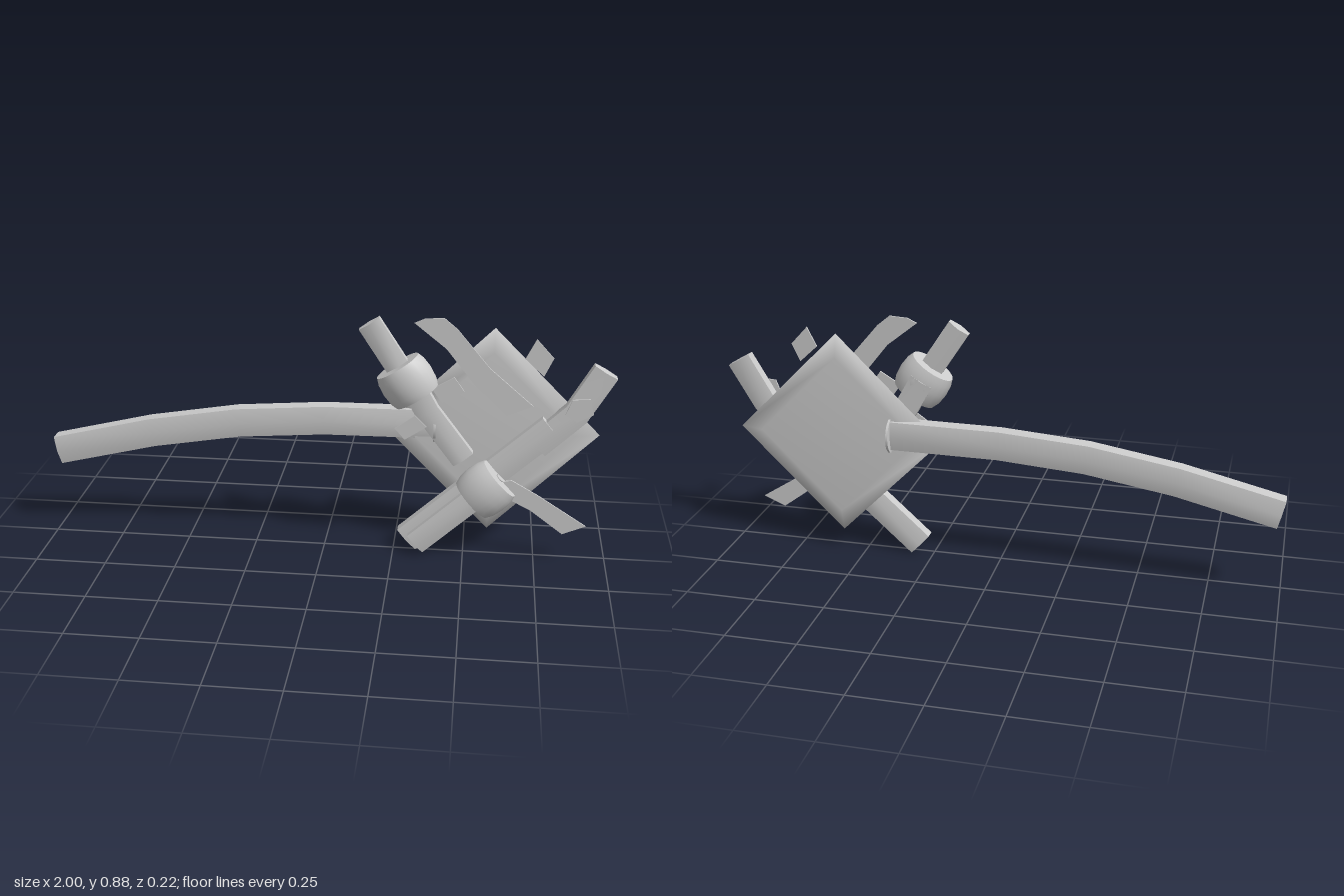
import * as THREE from 'three';
import { toCreasedNormals } from 'three/addons/utils/BufferGeometryUtils.js';

const material = new THREE.MeshStandardMaterial({ color: 0xcccccc, side: THREE.DoubleSide });

function add(group, name, geometry) {
  const mesh = new THREE.Mesh(geometry, material);
  mesh.name = name;
  group.add(mesh);
  return mesh;
}

// Six-sided bar swept along a path in the xy plane; w is half its width, d half its depth
function barGeometry(path, z, w, d, k = 0.65) {
  const section = [[w, k * d], [0, d], [-w, k * d], [-w, -k * d], [0, -d], [w, -k * d]];
  const n = section.length;
  const pos = [], idx = [];
  path.forEach(([x, y], i) => {
    const a = path[Math.max(0, i - 1)], b = path[Math.min(path.length - 1, i + 1)];
    const len = Math.hypot(b[0] - a[0], b[1] - a[1]);
    const nx = -(b[1] - a[1]) / len, ny = (b[0] - a[0]) / len;
    for (const [s, t] of section) pos.push(x + nx * s, y + ny * s, z + t);
  });
  for (let i = 0; i < path.length - 1; i++) {
    for (let j = 0; j < n; j++) {
      const a = i * n + j, b = i * n + (j + 1) % n;
      idx.push(a, b, b + n, a, b + n, a + n);
    }
  }
  const last = (path.length - 1) * n;
  for (let j = 1; j < n - 1; j++) {
    idx.push(0, j + 1, j, last, last + j, last + j + 1);
  }
  // section runs clockwise seen along the path, so flip the winding
  for (let i = 0; i < idx.length; i += 3) [idx[i + 1], idx[i + 2]] = [idx[i + 2], idx[i + 1]];
  const g = new THREE.BufferGeometry();
  g.setAttribute('position', new THREE.Float32BufferAttribute(pos, 3));
  g.setIndex(idx);
  // keep the winding outward whichever way the section turns
  return toCreasedNormals(orientOutward(g), 0.7);
}

// Flips all faces if the enclosed volume is negative
function orientOutward(g) {
  const p = g.attributes.position, ix = g.index.array;
  const [a, b, c] = [new THREE.Vector3(), new THREE.Vector3(), new THREE.Vector3()];
  let volume = 0;
  for (let i = 0; i < ix.length; i += 3) {
    a.fromBufferAttribute(p, ix[i]);
    b.fromBufferAttribute(p, ix[i + 1]);
    c.fromBufferAttribute(p, ix[i + 2]);
    volume += a.dot(b.cross(c));
  }
  if (volume < 0) {
    for (let i = 0; i < ix.length; i += 3) [ix[i + 1], ix[i + 2]] = [ix[i + 2], ix[i + 1]];
  }
  return g;
}

// Thin flat piece from an outline in the xy plane
function flatGeometry(outline, z = 0.04, depth = 0.006) {
  const shape = new THREE.Shape(outline.map(([x, y]) => new THREE.Vector2(x, y)));
  const g = new THREE.ExtrudeGeometry(shape, { depth, bevelEnabled: false });
  return g.translate(0, 0, z - depth / 2);
}

export function createModel() {
  const model = new THREE.Group();
  model.name = 'bladedTool';

  // Long, gently curved handle and the thin disc at its end
  add(model, 'handle', barGeometry(
    [[-0.985, 0.313], [-0.63, 0.398], [-0.315, 0.45], [-0.005, 0.473], [0.385, 0.476]],
    -0.049, 0.052, 0.037, 0.72));
  const disc = add(model, 'handleDisc', new THREE.CylinderGeometry(0.066, 0.066, 0.008, 24));
  disc.rotation.z = Math.PI / 2;
  disc.position.set(0.387, 0.472, -0.045);

  // Square head plate standing on its corner, tapering to its rim
  const profile = [[0, -0.022], [0.29, -0.022], [0.375, 0], [0.29, 0.022], [0, 0.022]];
  const plate = add(model, 'headPlate',
    new THREE.LatheGeometry(profile.map(([r, y]) => new THREE.Vector2(r, y)), 4));
  plate.rotation.x = Math.PI / 2;
  plate.position.set(0.582, 0.455, -0.043);

  // Bars lying on the plate
  add(model, 'lowerBar', barGeometry([[0.297, 0.04], [0.79, 0.49]], -0.011, 0.049, 0.029));
  add(model, 'upperBar', barGeometry([[0.96, 0.7], [0.87, 0.545], [0.74, 0.42]], -0.011, 0.045, 0.027));
  add(model, 'sideBar', barGeometry([[0.28, 0.67], [0.36, 0.53], [0.49, 0.36]], -0.008, 0.042, 0.026));

  // Front rods, each carrying a barrel-shaped collar
  const rods = [
    { name: 'upper', start: [0.157, 0.857], collar: [0.29, 0.655] },
    { name: 'lower', start: [0.33, 0.045], collar: [0.572, 0.267] },
  ];
  const collarProfile = [[0, -0.064], [0.083, -0.064], [0.092, -0.04], [0.096, 0],
    [0.092, 0.04], [0.083, 0.064], [0, 0.064]].map(([r, y]) => new THREE.Vector2(r, y));
  for (const { name, start, collar } of rods) {
    add(model, name + 'Rod', barGeometry([start, collar], 0.04, 0.041, 0.024, 0.5));
    const dx = collar[0] - start[0], dy = collar[1] - start[1];
    const g = toCreasedNormals(new THREE.LatheGeometry(collarProfile, 24), 0.7);
    const mesh = add(model, name + 'Collar', g.scale(1, 1, 0.75));
    mesh.position.set(collar[0], collar[1], 0.04);
    mesh.rotation.z = Math.atan2(dy, dx) - Math.PI / 2;
    // Small pin in the outer face of the collar
    const pin = new THREE.CylinderGeometry(0.016, 0.016, 0.01, 12).translate(0, 0.062, 0);
    const pinMesh = add(model, name + 'CollarPin', pin);
    pinMesh.position.copy(mesh.position);
    pinMesh.rotation.copy(mesh.rotation);
  }

  // Thin blades
  add(model, 'upperBlade', flatGeometry([[0.31, 0.862], [0.345, 0.878], [0.41, 0.882], [0.455, 0.845],
    [0.57, 0.71], [0.72, 0.582], [0.632, 0.545], [0.52, 0.65], [0.42, 0.775]]));
  add(model, 'lowerBlade', flatGeometry([[0.6, 0.29], [0.66, 0.305], [0.75, 0.255], [0.925, 0.144],
    [0.845, 0.11], [0.73, 0.195], [0.62, 0.25]]));

  // Loose flat chips around the head
  const chips = [
    [[0.25, 0.48], [0.32, 0.53], [0.36, 0.49], [0.285, 0.44]],
    [[0.375, 0.63], [0.45, 0.675], [0.485, 0.625], [0.41, 0.58]],
    [[0.72, 0.82], [0.78, 0.755], [0.75, 0.69], [0.685, 0.75]],
    [[0.83, 0.555], [0.85, 0.61], [0.91, 0.615], [0.925, 0.56], [0.87, 0.53]],
  ];
  for (const outline of chips) add(model, 'chip', flatGeometry(outline));

  return model;
}
